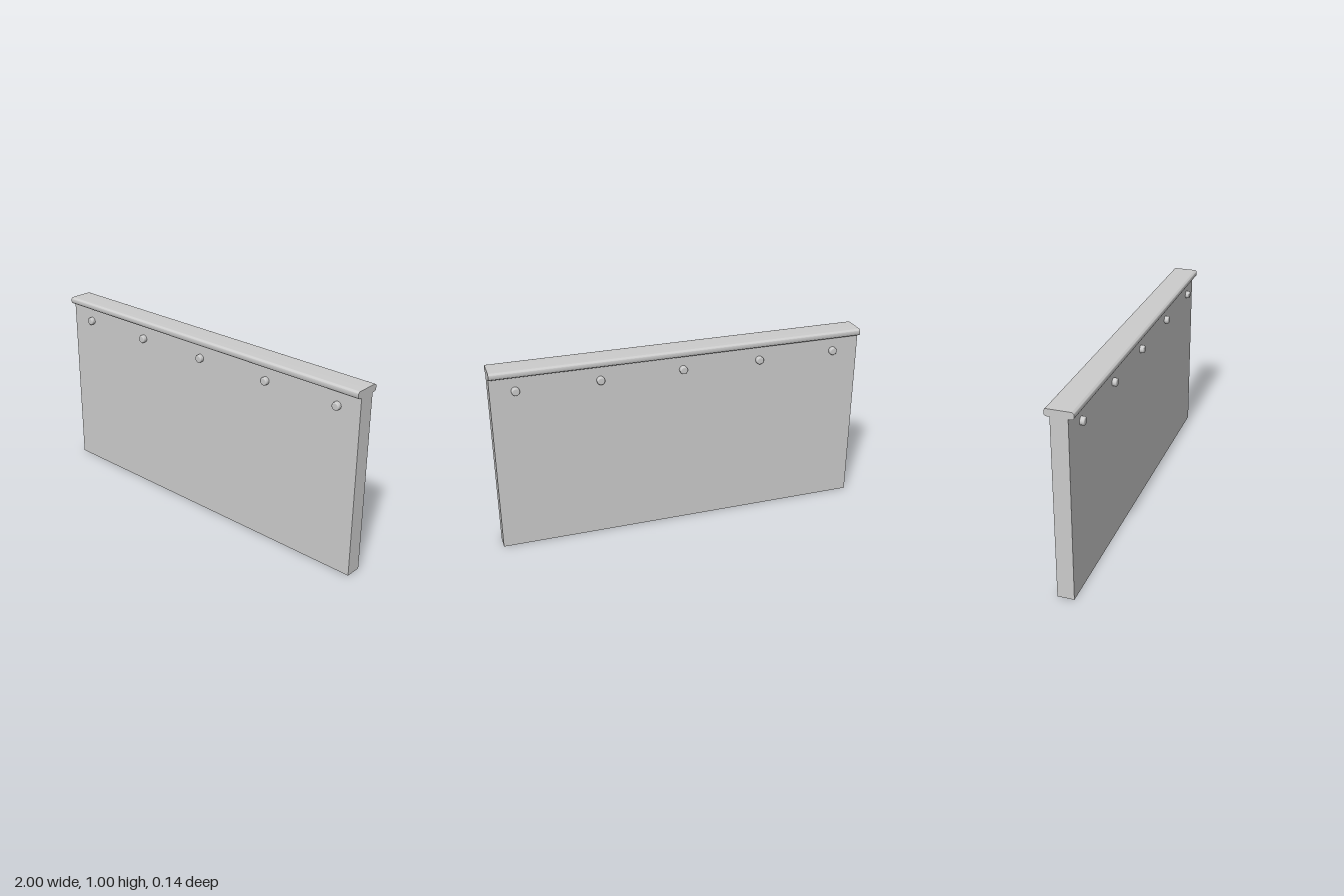
import * as THREE from 'three';
import { toCreasedNormals } from 'three/addons/utils/BufferGeometryUtils.js';

const LENGTH = 2, PANEL_HALF = 0.0435, CAP_HALF = 0.071, CAP_BOTTOM = 0.963;

export function createModel() {
  const group = new THREE.Group();
  const grey = new THREE.MeshStandardMaterial({ color: 0xcccccc });
  const add = (name, geometry) => {
    const mesh = new THREE.Mesh(geometry, grey);
    mesh.name = name;
    group.add(mesh);
    return mesh;
  };

  // Flat wall panel
  add('panel', new THREE.BoxGeometry(LENGTH, CAP_BOTTOM, 2 * PANEL_HALF))
    .position.y = CAP_BOTTOM / 2;

  // Overhanging top rail with rounded long edges
  const r = 0.013, w = CAP_HALF, b = CAP_BOTTOM, t = 1;
  const profile = new THREE.Shape();
  profile.absarc(w - r, b + r, r, -Math.PI / 2, 0);
  profile.absarc(w - r, t - r, r, 0, Math.PI / 2);
  profile.absarc(-w + r, t - r, r, Math.PI / 2, Math.PI);
  profile.absarc(-w + r, b + r, r, Math.PI, Math.PI * 1.5);
  profile.closePath();
  const rail = new THREE.ExtrudeGeometry(profile, { depth: LENGTH, bevelEnabled: false, curveSegments: 8 });
  rail.translate(0, 0, -LENGTH / 2).rotateY(Math.PI / 2);
  add('topRail', toCreasedNormals(rail, 0.6));

  // Round-edged studs on both faces
  const R = 0.021, e = 0.007, tip = 0.066;
  const outline = [new THREE.Vector2(R, PANEL_HALF - 0.005)];
  for (let i = 0; i <= 5; i++) {
    const a = (i / 5) * Math.PI / 2;
    outline.push(new THREE.Vector2(R - e + e * Math.cos(a), tip - e + e * Math.sin(a)));
  }
  outline.push(new THREE.Vector2(0, tip));
  const stud = new THREE.LatheGeometry(outline, 24).rotateX(Math.PI / 2);
  for (const x of [-0.852, -0.425, 0, 0.44, 0.872]) {
    for (const side of [1, -1]) {
      const mesh = add(side > 0 ? 'frontStud' : 'backStud', stud);
      mesh.position.set(x, 0.887, 0);
      if (side < 0) mesh.rotation.y = Math.PI;
    }
  }
  return group;
}
